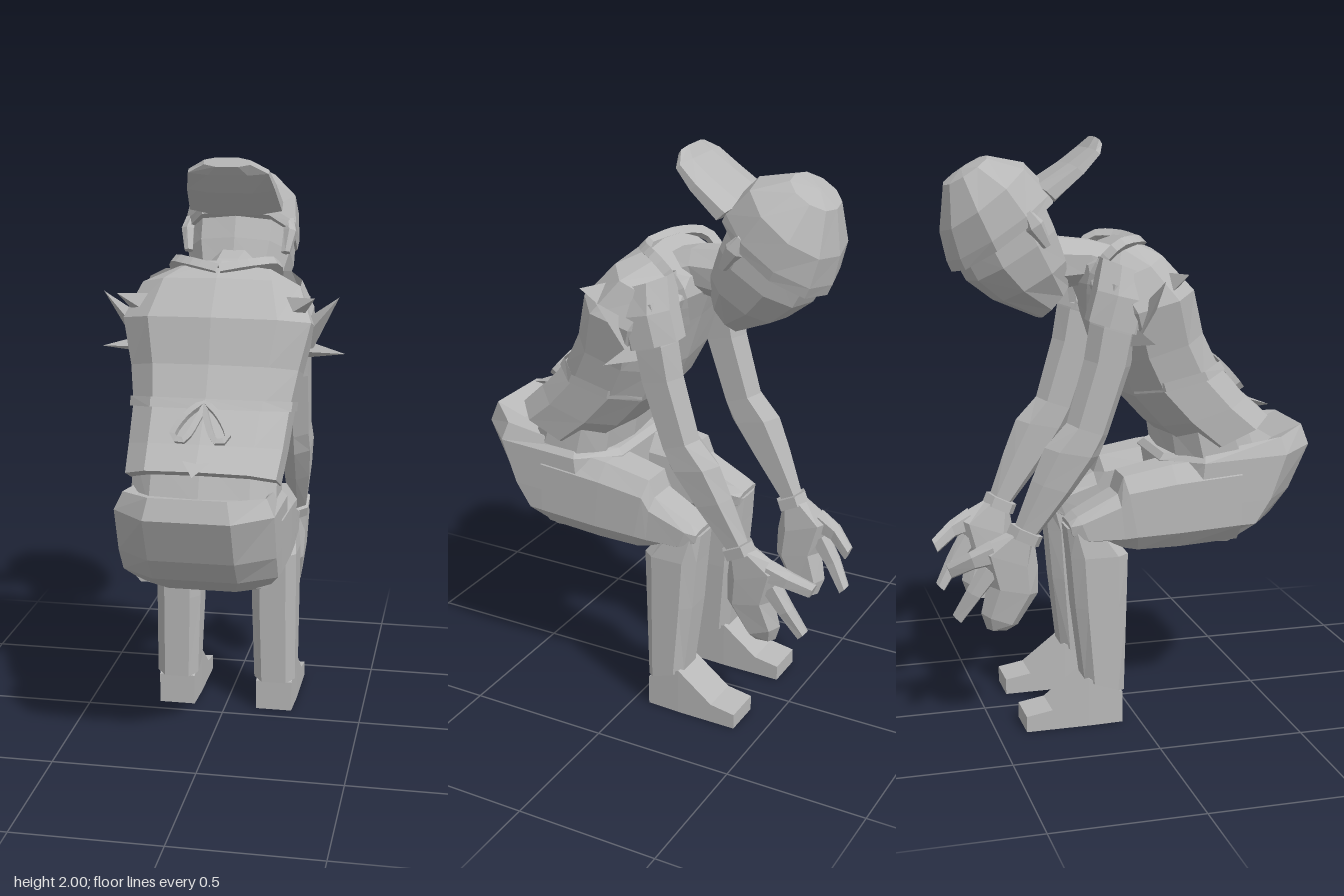
import * as THREE from 'three';

const grey = new THREE.MeshStandardMaterial({ color: 0xb8b8b8, flatShading: true, side: THREE.DoubleSide });
grey.name = 'plain grey';

// Skin a row of rings. Each ring is [x, halfWidth, backZ, backY, frontZ, frontY];
// power below 1 squares the cross-section.
function loft(name, rings, { n = 8, power = 1, s = 1, caps = true } = {}) {
  const pos = [], idx = [];
  const k = Math.cos(Math.PI / n) ** power;
  const bend = v => Math.sign(v) * Math.abs(v) ** power / k;
  for (const [x, w, bz, by, fz, fy] of rings) {
    for (let i = 0; i < n; i++) {
      const a = (i + 0.5) / n * Math.PI * 2;
      const t = 0.5 + 0.5 * Math.max(-1, Math.min(1, bend(Math.sin(a))));
      pos.push(s * (x + w * bend(Math.cos(a))), fy + (by - fy) * t, fz + (bz - fz) * t);
    }
  }
  for (let r = 0; r < rings.length - 1; r++) {
    for (let i = 0; i < n; i++) {
      const a = r * n + i, b = r * n + (i + 1) % n;
      idx.push(a, b, a + n, b, b + n, a + n);
    }
  }
  if (caps) {
    const e = (rings.length - 1) * n;
    for (let i = 1; i < n - 1; i++) idx.push(0, i + 1, i, e, e + i, e + i + 1);
  }
  // Turn the faces outward whatever way the rings run
  const P = i => new THREE.Vector3().fromArray(pos, i * 3);
  let volume = 0;
  const o = P(0);
  for (let i = 0; i < idx.length; i += 3) {
    const [a, b, c] = [0, 1, 2].map(j => P(idx[i + j]).sub(o));
    volume += a.dot(b.cross(c));
  }
  if (volume < 0) idx.reverse();
  const g = new THREE.BufferGeometry();
  g.setAttribute('position', new THREE.Float32BufferAttribute(pos, 3));
  g.setIndex(idx);
  return finish(name, g.toNonIndexed());
}

function finish(name, g) {
  g.computeVertexNormals();
  const m = new THREE.Mesh(g, grey);
  m.name = name;
  return m;
}

function cord(name, points, radius, closed = false) {
  const curve = new THREE.CatmullRomCurve3(points.map(p => new THREE.Vector3(...p)), closed);
  return finish(name, new THREE.TubeGeometry(curve, 14, radius, 4, closed));
}

// Flat pointed scrap of cloth from base to tip
function spike(name, base, tip, radius) {
  const a = new THREE.Vector3(...base), d = new THREE.Vector3(...tip).sub(a);
  const g = new THREE.ConeGeometry(radius, d.length(), 3).translate(0, d.length() / 2, 0).scale(1, 1, 0.5);
  const m = finish(name, g);
  m.position.copy(a);
  m.quaternion.setFromUnitVectors(new THREE.Vector3(0, 1, 0), d.normalize());
  return m;
}

function buildHead() {
  const head = new THREE.Group();
  head.name = 'head';
  head.position.set(0, 1.69, -0.42);
  head.rotation.x = -0.55;
  head.add(
    loft('face', [
      [0, 0.185, 0.18, 0.03, -0.18, 0.02],
      [0, 0.185, 0.165, -0.08, -0.185, -0.08],
      [0, 0.16, 0.14, -0.19, -0.145, -0.185],
      [0, 0.09, 0.1, -0.275, -0.05, -0.32],
    ], { n: 10, power: 0.85 }),
    loft('capDome', [
      [0, 0.195, 0.215, 0.0, -0.21, -0.03],
      [0, 0.2, 0.215, 0.03, -0.205, 0.01],
      [0, 0.19, 0.188, 0.145, -0.172, 0.105],
      [0, 0.105, 0.095, 0.23, -0.08, 0.225],
      [0, 0.01, 0.01, 0.24, -0.005, 0.24],
    ], { n: 10 }),
  );
  for (const s of [1, -1]) {
    head.add(loft('ear', [
      [0.175, 0.02, 0.1, 0.03, 0.07, 0.03],
      [0.185, 0.022, 0.115, -0.02, 0.05, -0.02],
      [0.175, 0.015, 0.1, -0.1, 0.07, -0.1],
    ], { n: 6, s }));
  }
  return head;
}

function buildSide(s) {
  const side = new THREE.Group();
  side.name = s > 0 ? 'leftLimbs' : 'rightLimbs';
  const box = { power: 0.6, s }, six = { n: 6, s };
  side.add(
    // Leg
    loft('thigh', [
      [0.14, 0.125, 0.36, 0.92, 0.36, 0.62],
      [0.155, 0.11, 0.12, 0.9, 0.15, 0.61],
      [0.165, 0.095, -0.05, 0.87, 0, 0.61],
      [0.165, 0.09, -0.07, 0.81, -0.05, 0.62],
      [0.17, 0.08, -0.21, 0.74, -0.17, 0.64],
      [0.17, 0.065, -0.24, 0.72, -0.23, 0.67],
    ], box),
    loft('shin', [
      [0.17, 0.07, -0.12, 0.7, -0.245, 0.7],
      [0.175, 0.08, -0.035, 0.6, -0.235, 0.6],
      [0.175, 0.08, -0.04, 0.42, -0.22, 0.42],
      [0.18, 0.075, -0.05, 0.11, -0.19, 0.16],
    ], box),
    loft('shoe', [
      [0.18, 0.065, -0.06, 0.11, -0.06, 0],
      [0.18, 0.07, -0.18, 0.17, -0.18, 0],
      [0.18, 0.07, -0.31, 0.07, -0.31, 0],
      [0.18, 0.07, -0.4, 0.055, -0.4, 0],
    ], { n: 4, s }),
    // Arm
    loft('arm', [
      [0.22, 0.07, 0.03, 1.49, -0.13, 1.54],
      [0.235, 0.058, -0.01, 1.35, -0.17, 1.4],
      [0.235, 0.055, -0.03, 1.25, -0.19, 1.28],
      [0.235, 0.05, -0.11, 1.02, -0.25, 1.07],
      [0.235, 0.052, -0.14, 0.95, -0.325, 0.99],
      [0.23, 0.045, -0.23, 0.83, -0.37, 0.88],
      [0.22, 0.032, -0.345, 0.69, -0.425, 0.73],
    ], six),
    loft('sleeve', [
      [0.19, 0.075, 0.06, 1.54, -0.12, 1.61],
      [0.225, 0.08, 0.05, 1.46, -0.15, 1.51],
      [0.235, 0.075, 0.02, 1.35, -0.18, 1.41],
    ], { s, caps: false }),
    loft('wristband', [
      [0.218, 0.042, -0.33, 0.68, -0.44, 0.735],
      [0.215, 0.042, -0.345, 0.645, -0.455, 0.7],
    ], six),
    // Hand with grouped and spread fingers
    loft('palm', [
      [0.215, 0.033, -0.36, 0.68, -0.44, 0.71],
      [0.205, 0.042, -0.345, 0.57, -0.56, 0.65],
      [0.2, 0.042, -0.345, 0.48, -0.52, 0.52],
      [0.19, 0.035, -0.415, 0.37, -0.54, 0.42],
      [0.18, 0.025, -0.44, 0.355, -0.52, 0.36],
    ], six),
    loft('middleFinger', [
      [0.205, 0.03, -0.48, 0.55, -0.54, 0.6],
      [0.2, 0.028, -0.54, 0.48, -0.59, 0.51],
      [0.18, 0.022, -0.605, 0.39, -0.635, 0.42],
    ], six),
    loft('indexFinger', [
      [0.215, 0.03, -0.49, 0.59, -0.51, 0.68],
      [0.2, 0.028, -0.56, 0.58, -0.58, 0.64],
      [0.155, 0.022, -0.63, 0.54, -0.65, 0.59],
    ], six),
    // Torn sleeve edges
    spike('sleeveSpike', [s * 0.27, 1.39, 0], [s * 0.405, 1.55, 0.04], 0.06),
    spike('sleeveSpike', [s * 0.27, 1.355, -0.03], [s * 0.425, 1.35, 0], 0.04),
    spike('sleeveSpike', [s * 0.23, 1.5, 0.09], [s * 0.335, 1.56, 0.14], 0.07),
    // Neck strap and bow loop
    cord('neckStrap', [[0, 1.635, 0.07], [s * 0.11, 1.65, 0.02], [s * 0.175, 1.64, -0.06],
      [s * 0.16, 1.55, -0.13], [s * 0.12, 1.42, -0.13]], 0.022),
    cord('bowLoop', [[0, 1.235, 0.325], [s * 0.05, 1.205, 0.355], [s * 0.09, 1.14, 0.405],
      [s * 0.055, 1.13, 0.415], [s * 0.015, 1.19, 0.365]], 0.014, true),
  );
  return side;
}

export function createModel() {
  const model = new THREE.Group();
  model.name = 'crouchingFigure';
  const round = { n: 10, power: 0.8 };
  model.add(
    // Shirt, hem to collar
    loft('torso', [
      [0, 0.25, 0.5, 1.05, 0.2, 0.92],
      [0, 0.258, 0.42, 1.12, 0.08, 1.02],
      [0, 0.265, 0.315, 1.235, -0.02, 1.13],
      [0, 0.285, 0.255, 1.35, -0.08, 1.25],
      [0, 0.32, 0.215, 1.5, -0.13, 1.41],
      [0, 0.27, 0.11, 1.615, -0.165, 1.51],
      [0, 0.15, 0.01, 1.66, -0.15, 1.57],
    ], round),
    loft('waistTie', [
      [0, 0.275, 0.32, 1.25, -0.03, 1.17],
      [0, 0.273, 0.34, 1.22, -0.025, 1.14],
    ], { ...round, caps: false }),
    loft('lowerShirt', [
      [0, 0.24, 0.4, 1.08, 0.12, 1],
      [0, 0.245, 0.46, 0.92, 0.14, 0.86],
    ], round),
    spike('hemPoint', [0, 1.07, 0.42], [0, 1.045, 0.55], 0.08),
    loft('neck', [
      [0, 0.1, 0, 1.62, -0.12, 1.47],
      [0, 0.085, -0.11, 1.65, -0.16, 1.5],
      [0, 0.1, -0.28, 1.67, -0.27, 1.48],
    ]),
    // Seat of the trousers, underside to waistband
    loft('seat', [
      [0, 0.21, 0.38, 0.61, 0.16, 0.62],
      [0, 0.26, 0.505, 0.685, 0.1, 0.67],
      [0, 0.262, 0.575, 0.77, 0.1, 0.75],
      [0, 0.262, 0.648, 0.925, 0.1, 0.9],
      [0, 0.235, 0.625, 0.995, 0.12, 0.92],
      [0, 0.21, 0.52, 0.95, 0.14, 0.92],
    ], { power: 0.7 }),
    // Cap brim
    loft('capBrim', [
      [0, 0.165, -0.25, 1.785, -0.31, 1.84],
      [0, 0.155, -0.155, 1.87, -0.2, 1.91],
      [0, 0.14, -0.1, 1.935, -0.13, 1.96],
      [0, 0.08, -0.08, 1.965, -0.1, 1.995],
    ], { power: 0.8 }),
    buildHead(),
    buildSide(1),
    buildSide(-1),
  );
  return model;
}
